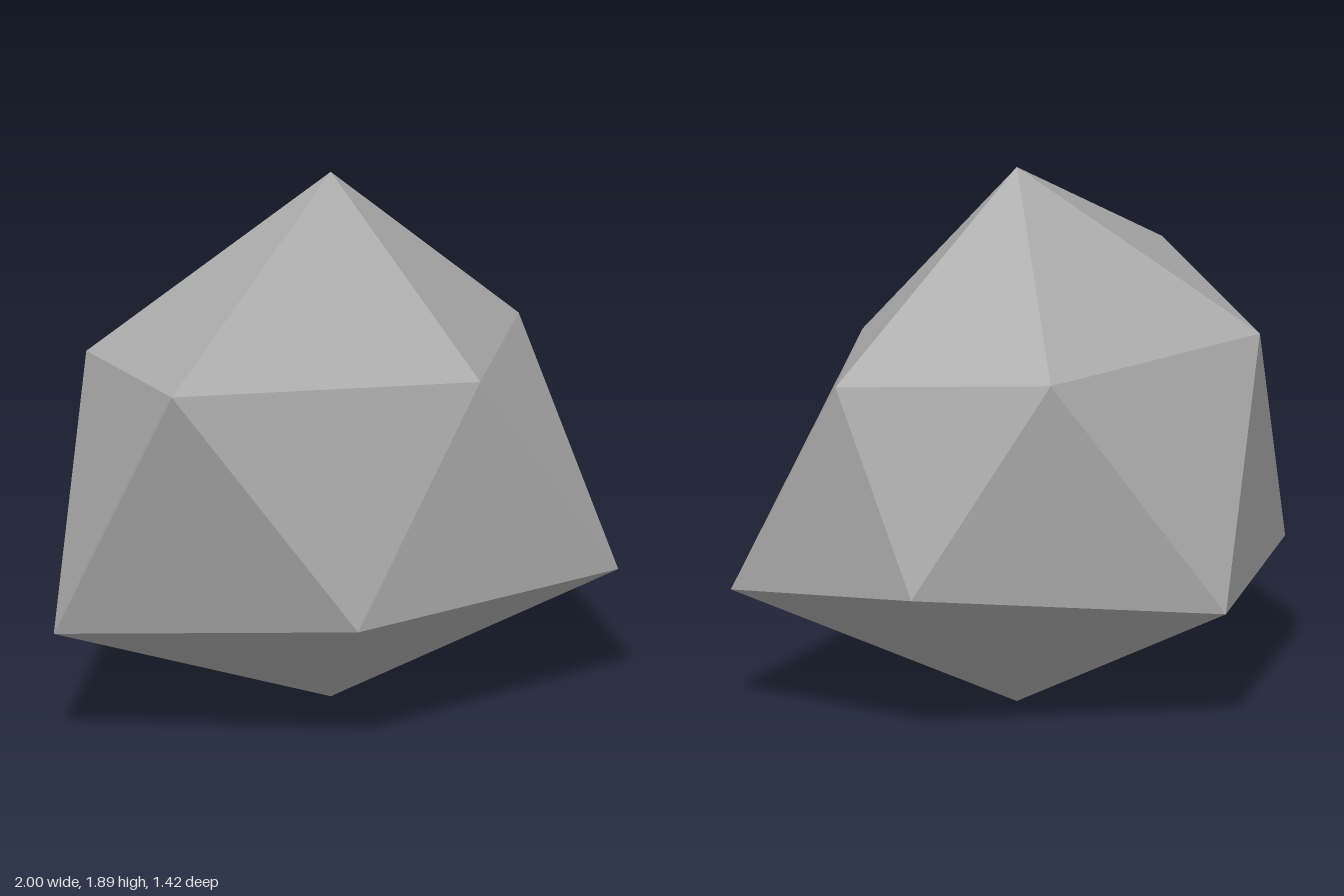
import * as THREE from 'three';

export function createModel() {
  const group = new THREE.Group();
  group.name = 'rock';

  const stone = new THREE.MeshStandardMaterial({ color: 0xb0b0b0, flatShading: true });
  stone.name = 'stone grey';

  // Irregular icosahedron: two poles and two staggered rings of five corners
  const top = [0.12, 1.89, 0.04];
  const bottom = [0.12, 0, 0.04];
  const upper = [[-0.85, 1.39, 0.56], [0.38, 1.24, 0.59], [0.905, 1.235, 0], [0.41, 1.29, -0.58], [-0.63, 1.27, -0.34]];
  const lower = [[-1, 0.42, 0.04], [-0.19, 0.47, 0.71], [1, 0.43, 0.49], [0.805, 0.53, -0.31], [-0.23, 0.415, -0.71]];

  // Each step round the rings adds a cap face, two side faces and a base face
  const positions = [];
  const face = (...corners) => corners.forEach((c) => positions.push(...c));
  for (let i = 0; i < 5; i++) {
    const j = (i + 1) % 5;
    face(top, upper[i], upper[j]);
    face(upper[i], lower[i], lower[j]);
    face(upper[i], lower[j], upper[j]);
    face(bottom, lower[j], lower[i]);
  }

  const geometry = new THREE.BufferGeometry();
  geometry.setAttribute('position', new THREE.Float32BufferAttribute(positions, 3));
  geometry.computeVertexNormals();

  const boulder = new THREE.Mesh(geometry, stone);
  boulder.name = 'boulder';
  group.add(boulder);
  return group;
}
